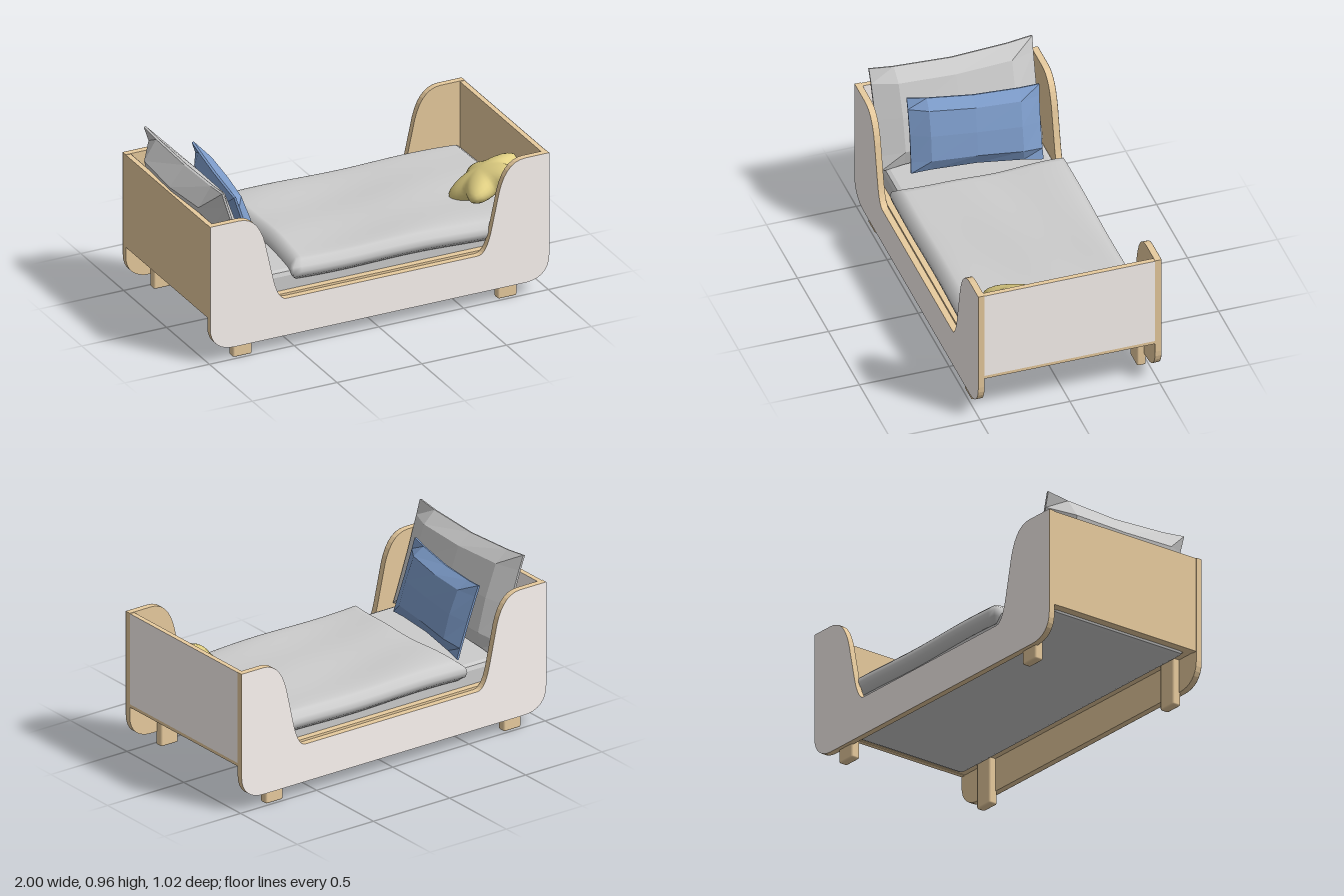
import * as THREE from 'three';
import { mergeVertices } from 'three/addons/utils/BufferGeometryUtils.js';
import { RoundedBoxGeometry } from 'three/addons/geometries/RoundedBoxGeometry.js';

const mat = (color, extra = {}) => new THREE.MeshStandardMaterial({ color, ...extra });
const WOOD = mat(0xe8cb9e);
const PAINT = mat(0xfdf6f3, { side: THREE.DoubleSide });
const CLOTH = mat(0xcccccc);
const CLOTH_FLAT = mat(0xcccccc, { flatShading: true });
const BLUE = mat(0x7d9cca, { flatShading: true });
const YELLOW = mat(0xe2d184);

function add(parent, name, geometry, material, x = 0, y = 0, z = 0) {
  const mesh = new THREE.Mesh(geometry, material);
  mesh.name = name;
  mesh.position.set(x, y, z);
  parent.add(mesh);
  return mesh;
}

// Move every vertex by a rule
function deform(geometry, rule) {
  const p = geometry.attributes.position;
  const v = new THREE.Vector3();
  for (let i = 0; i < p.count; i++) {
    rule(v.fromBufferAttribute(p, i));
    p.setXYZ(i, v.x, v.y, v.z);
  }
  geometry.computeVertexNormals();
  return geometry;
}

// Weld shared corners so normals run smoothly over the surface
function weld(geometry) {
  geometry.deleteAttribute('uv');
  geometry.deleteAttribute('normal');
  const g = mergeVertices(geometry, 1e-4);
  g.computeVertexNormals();
  return g;
}

// Side outline: tall rounded ends with a low middle
function sideShape() {
  const s = new THREE.Shape();
  s.moveTo(-0.86, 0.076);
  s.lineTo(0.86, 0.076);
  s.bezierCurveTo(0.94, 0.076, 1, 0.12, 1, 0.21);
  s.lineTo(1, 0.805);
  s.lineTo(0.86, 0.805);
  s.bezierCurveTo(0.77, 0.805, 0.72, 0.73, 0.695, 0.59);
  s.lineTo(0.66, 0.43);
  s.bezierCurveTo(0.645, 0.36, 0.62, 0.292, 0.58, 0.292);
  s.lineTo(-0.55, 0.292);
  s.bezierCurveTo(-0.59, 0.292, -0.615, 0.36, -0.63, 0.43);
  s.lineTo(-0.665, 0.59);
  s.bezierCurveTo(-0.69, 0.73, -0.74, 0.805, -0.83, 0.805);
  s.lineTo(-1, 0.805);
  s.lineTo(-1, 0.21);
  s.bezierCurveTo(-1, 0.12, -0.94, 0.076, -0.86, 0.076);
  return s;
}

// Cushion with a broad flat middle, sloping borders and a thin seam; bow bends its middle backwards
function cushion(w, h, t, bow) {
  return deform(new THREE.BoxGeometry(w, h, t, 4, 4, 1), (v) => {
    const spread = (a) => Math.sign(a) * Math.min(1, 0.4 + 0.6 * Math.abs(a));
    const u = spread((2 * v.x) / w), q = spread((2 * v.y) / h);
    const puff = Math.sqrt(Math.max(0, (1 - u ** 4) * (1 - q ** 4)));
    v.x = (w / 2) * u * (1 - 0.015 * (1 - q * q));
    v.y = (h / 2) * q * (1 - 0.1 * (1 - u * u));
    v.z = Math.sign(v.z) * (0.006 + (t / 2) * puff) - bow * puff;
  });
}

export function createModel() {
  const bed = new THREE.Group();
  bed.name = 'toddlerBed';

  // Side panels, painted on the outer face, with an inner rail
  const shape = sideShape();
  for (const side of [1, -1]) {
    const name = side > 0 ? 'front' : 'back';
    const core = new THREE.ExtrudeGeometry(shape, { depth: 0.035, bevelEnabled: false, curveSegments: 8 });
    add(bed, name + 'SidePanel', core, WOOD, 0, 0, side > 0 ? 0.475 : -0.51);
    add(bed, name + 'SidePaint', new THREE.ShapeGeometry(shape, 8), PAINT, 0, 0, side * 0.511);
    add(bed, name + 'Rail', new THREE.BoxGeometry(1.94, 0.04, 0.04), WOOD, 0, 0.285, side * 0.455);
  }

  // Headboard and footboard, painted on the same face, with a cross rail
  for (const [name, x] of [['headboard', -0.985], ['footboard', 0.985]]) {
    add(bed, name, new THREE.BoxGeometry(0.028, 0.54, 0.95), WOOD, x, 0.532, 0);
    const paint = add(bed, name + 'Paint', new THREE.PlaneGeometry(0.95, 0.522), PAINT, x + 0.015, 0.542, 0);
    paint.rotation.y = Math.PI / 2;
    add(bed, name + 'Rail', new THREE.BoxGeometry(0.03, 0.03, 0.88), WOOD, x * 0.97, 0.28, 0);
  }

  // Legs
  for (const x of [-0.797, 0.766]) {
    for (const z of [-0.461, 0.461]) {
      add(bed, 'leg', new RoundedBoxGeometry(0.112, 0.27, 0.052, 1, 0.01), WOOD, x, 0.135, z);
    }
  }

  // Mattress
  add(bed, 'mattress', new RoundedBoxGeometry(1.9, 0.17, 0.876, 1, 0.03), CLOTH_FLAT, 0, 0.33, 0);

  // Duvet: soft slab with rounded rim, drooping sides and gentle ripples
  const hx = 0.735, hy = 0.055, hz = 0.486;
  const duvet = deform(weld(new THREE.BoxGeometry(2 * hx, 2 * hy, 2 * hz, 28, 4, 20)), (v) => {
    const u = v.x / hx, q = v.y / hy, w = v.z / hz;
    const rim = 1 - Math.sqrt(Math.max(0, 1 - 0.96 * q * q));
    v.x -= 0.05 * rim * Math.sign(u) * Math.abs(u) ** 10;
    v.z -= 0.05 * rim * Math.sign(w) * Math.abs(w) ** 10;
    v.x += 0.035 * (1 - w * w) * Math.max(0, -u) ** 4;
    v.y += 0.005 * Math.sin(5 * u + 1.5 * w) + 0.003 * Math.cos(7 * w + 2 * u);
    v.y -= 0.012 * Math.abs(w) ** 6 + 0.007 * u;
  });
  add(bed, 'duvet', duvet, CLOTH, 0.235, 0.418, 0);

  // Cushions leaning on the headboard
  const place = (mesh, yaw, lean) => {
    mesh.rotation.order = 'YXZ';
    mesh.rotation.set(-lean, Math.PI / 2 + yaw, 0);
  };
  place(add(bed, 'pillow', cushion(0.91, 0.58, 0.2, 0.035), CLOTH_FLAT, -0.815, 0.685, 0.01), 0, 0.31);
  place(add(bed, 'blueCushion', cushion(0.71, 0.42, 0.12, 0), BLUE, -0.635, 0.636, -0.035), -0.15, 0.31);

  // Plump star cushion leaning on the footboard
  const star = deform(weld(new THREE.SphereGeometry(1, 50, 14)), (v) => {
    const flat = Math.hypot(v.x, v.z);
    const a = Math.atan2(v.z, v.x);
    const r = 0.182 + 0.037 * Math.cos(5 * (a + 0.18)) * flat;
    v.set(v.x * r, v.y * 0.08, v.z * r);
  });
  const starMesh = add(bed, 'starCushion', star, YELLOW, 0.785, 0.56, 0.195);
  starMesh.quaternion.setFromUnitVectors(
    new THREE.Vector3(0, 1, 0), new THREE.Vector3(-0.45, 1, -0.28).normalize());

  return bed;
}
